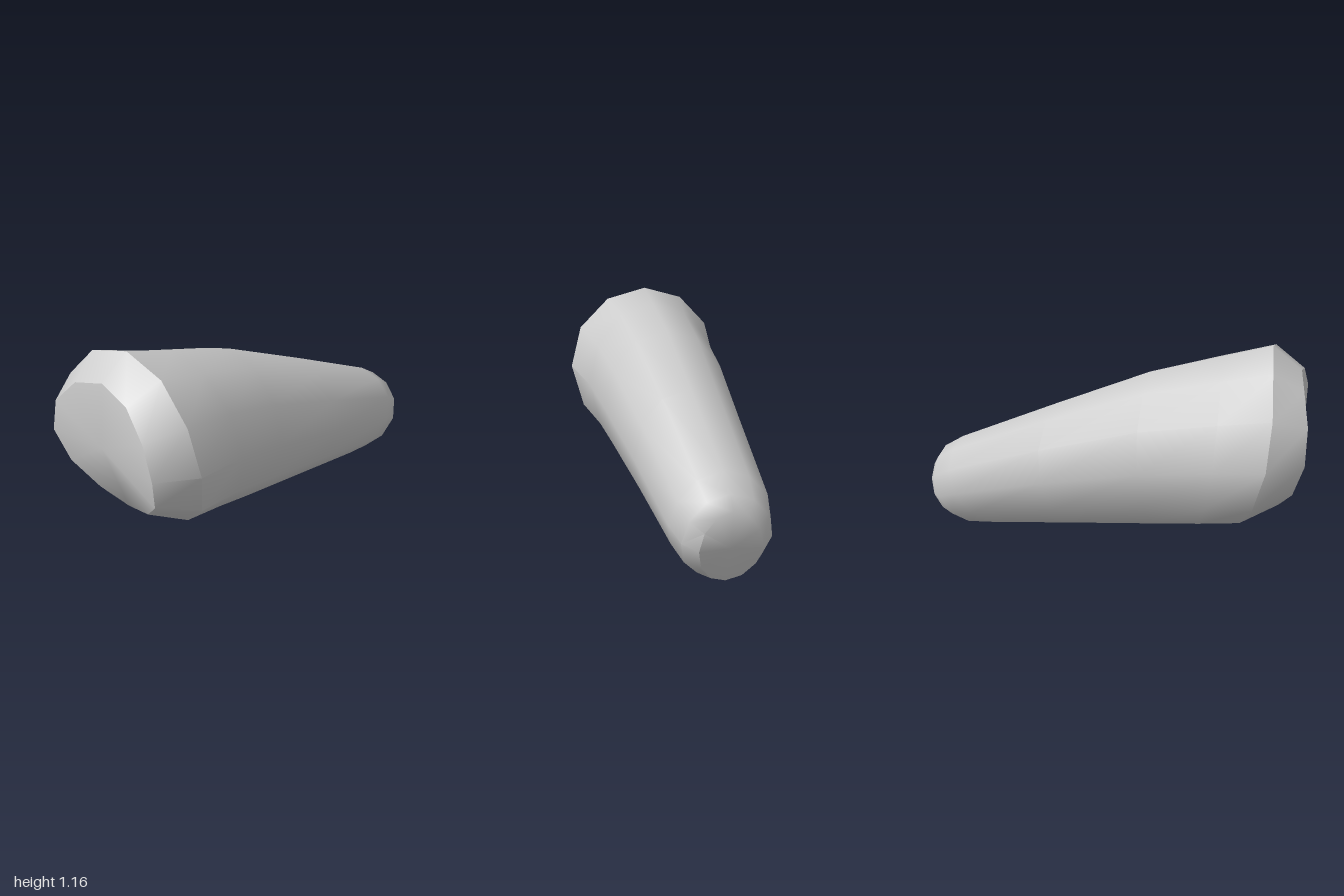
import * as THREE from 'three';
import { toCreasedNormals } from 'three/addons/utils/BufferGeometryUtils.js';

const SIDES = 12;

// Cross-sections from the wide end to the narrow end:
// [topX, topY, bottomX, bottomY, halfWidth, sideShiftX, skewX]
const SECTIONS = [
  [-0.93, 1.06, -0.85, 0.38, 0.335, -0.085, 0.025],
  [-0.79, 1.165, -0.67, 0.265, 0.445, -0.075, 0.035],
  [-0.55, 1.09, -0.47, 0.212, 0.38, -0.02, 0.06],
  [-0.2, 0.98, -0.27, 0.17, 0.345, 0.03, 0.02],
  [0.3, 0.755, 0.17, 0.095, 0.285, 0.06, 0],
  [0.85, 0.5, 0.6, 0.025, 0.233, 0.09, 0],
  [0.96, 0.43, 0.78, 0, 0.203, 0.05, 0],
  [1.0, 0.365, 0.9, 0.022, 0.14, 0.03, 0],
];

// Loft closed elliptical rings and cap each end with a fan.
function loft(sections, startCentre, endCentre) {
  const pos = [];
  const index = [];
  for (const [tx, ty, bx, by, half, shift, skew] of sections) {
    for (let j = 0; j < SIDES; j++) {
      const a = (j / SIDES) * Math.PI * 2;
      const c = Math.cos(a);
      const s = Math.sin(a);
      const x = (tx + bx) / 2 + ((tx - bx) / 2) * c + shift * s * s + skew * s;
      pos.push(x, (ty + by) / 2 + ((ty - by) / 2) * c, half * s);
    }
  }
  const last = (sections.length - 1) * SIDES;
  const start = last + SIDES;
  pos.push(...startCentre, ...endCentre);
  for (let j = 0; j < SIDES; j++) {
    const k = (j + 1) % SIDES;
    for (let r = 0; r < last; r += SIDES) {
      index.push(r + j, r + k, r + SIDES + j, r + k, r + SIDES + k, r + SIDES + j);
    }
    index.push(start, k, j, start + 1, last + j, last + k);
  }
  const geometry = new THREE.BufferGeometry();
  geometry.setAttribute('position', new THREE.Float32BufferAttribute(pos, 3));
  geometry.setIndex(index);
  return toCreasedNormals(geometry, 0.75);
}

export function createModel() {
  const group = new THREE.Group();
  group.name = 'taperedLimb';
  const material = new THREE.MeshStandardMaterial({ color: 0xcccccc });
  // Tapered body with closed ends
  const body = new THREE.Mesh(loft(SECTIONS, [-0.965, 0.75, 0], [0.985, 0.2, 0]), material);
  body.name = 'limbBody';
  group.add(body);
  return group;
}
